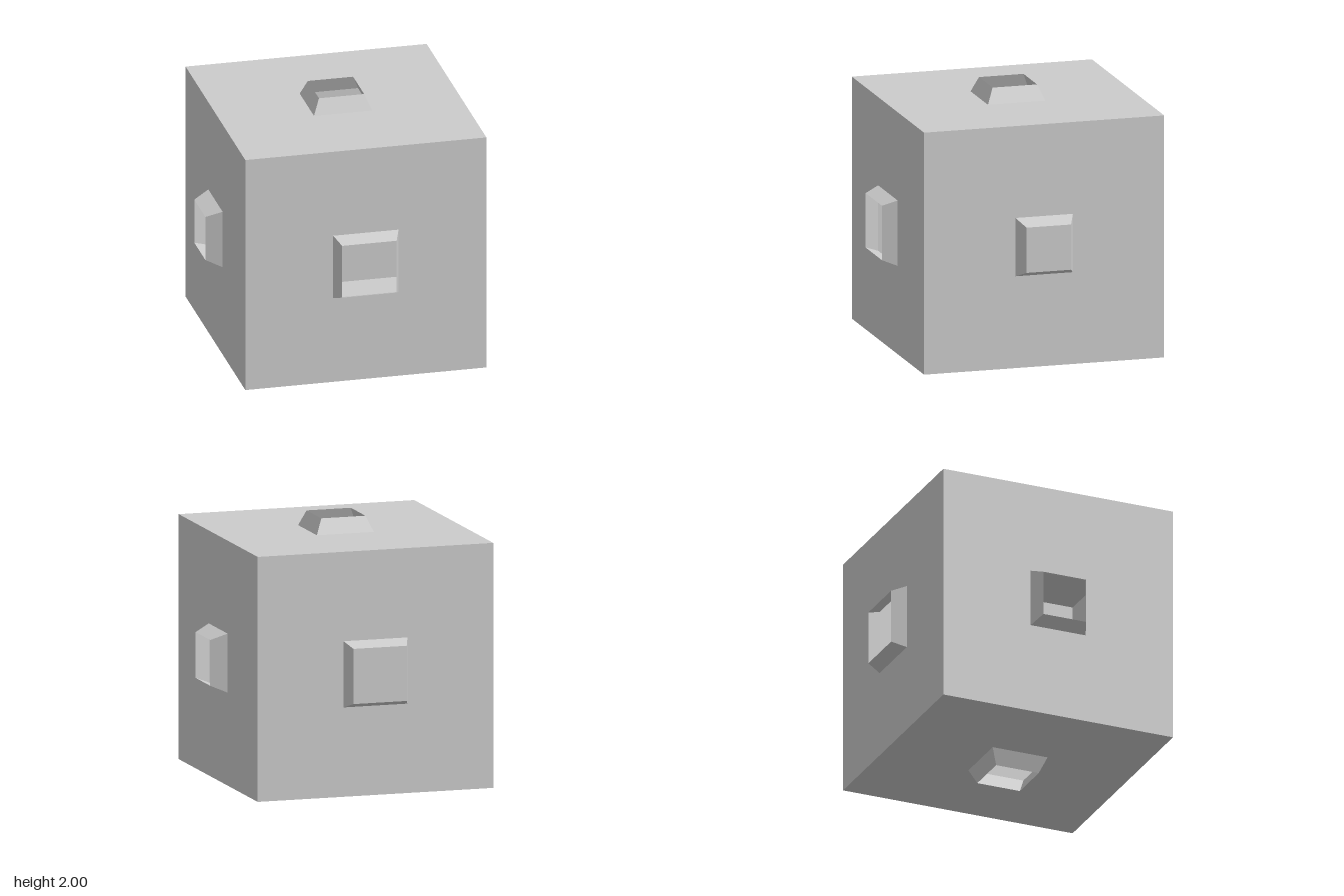
import * as THREE from 'three';

const material = new THREE.MeshStandardMaterial({ color: 0xcccccc, flatShading: true, side: THREE.DoubleSide });

// Half sizes of the hollow cube; every spout reaches 1 unit from the centre
const HX = 0.885, HY = 0.888, HZ = 0.895, REACH = 1;

// Rectangle centred on the origin
function rectangle(Type, w, h) {
  return new Type([[-w, -h], [w, -h], [w, h], [-w, h]].map(([x, y]) => new THREE.Vector2(x, y)));
}

// One wall facing +z: a thin panel with a square hole and a tapered open spout
function makeWall(name, w, h, distance, base, tip) {
  const wall = new THREE.Group();
  wall.name = name;

  const shape = rectangle(THREE.Shape, w, h);
  shape.holes.push(rectangle(THREE.Path, base, base));
  const panel = new THREE.Mesh(new THREE.ShapeGeometry(shape), material);
  panel.name = name + 'Panel';
  panel.position.z = distance;

  const depth = REACH - distance;
  const taper = new THREE.CylinderGeometry(tip * Math.SQRT2, base * Math.SQRT2, depth, 4, 1, true);
  taper.rotateY(Math.PI / 4).rotateX(Math.PI / 2);
  const spout = new THREE.Mesh(taper, material);
  spout.name = name + 'Spout';
  spout.position.z = distance + depth / 2;

  wall.add(panel, spout);
  return wall;
}

export function createModel() {
  const model = new THREE.Group();
  model.name = 'hollowCube';
  const q = Math.PI / 2;

  // name, half width, half height, distance, spout base, spout tip, turn about x, turn about y
  const walls = [
    ['front', HX, HY, HZ, 0.24, 0.2, 0, 0],
    ['back', HX, HY, HZ, 0.24, 0.2, 0, 2 * q],
    ['left', HZ, HY, HX, 0.214, 0.166, 0, q],
    ['right', HZ, HY, HX, 0.214, 0.166, 0, -q],
    ['top', HX, HZ, HY, 0.214, 0.166, -q, 0],
    ['bottom', HX, HZ, HY, 0.214, 0.166, q, 0],
  ];
  for (const [name, w, h, distance, base, tip, rx, ry] of walls) {
    const wall = makeWall(name, w, h, distance, base, tip);
    wall.rotation.set(rx, ry, 0);
    wall.position.y = 1;
    model.add(wall);
  }
  return model;
}
